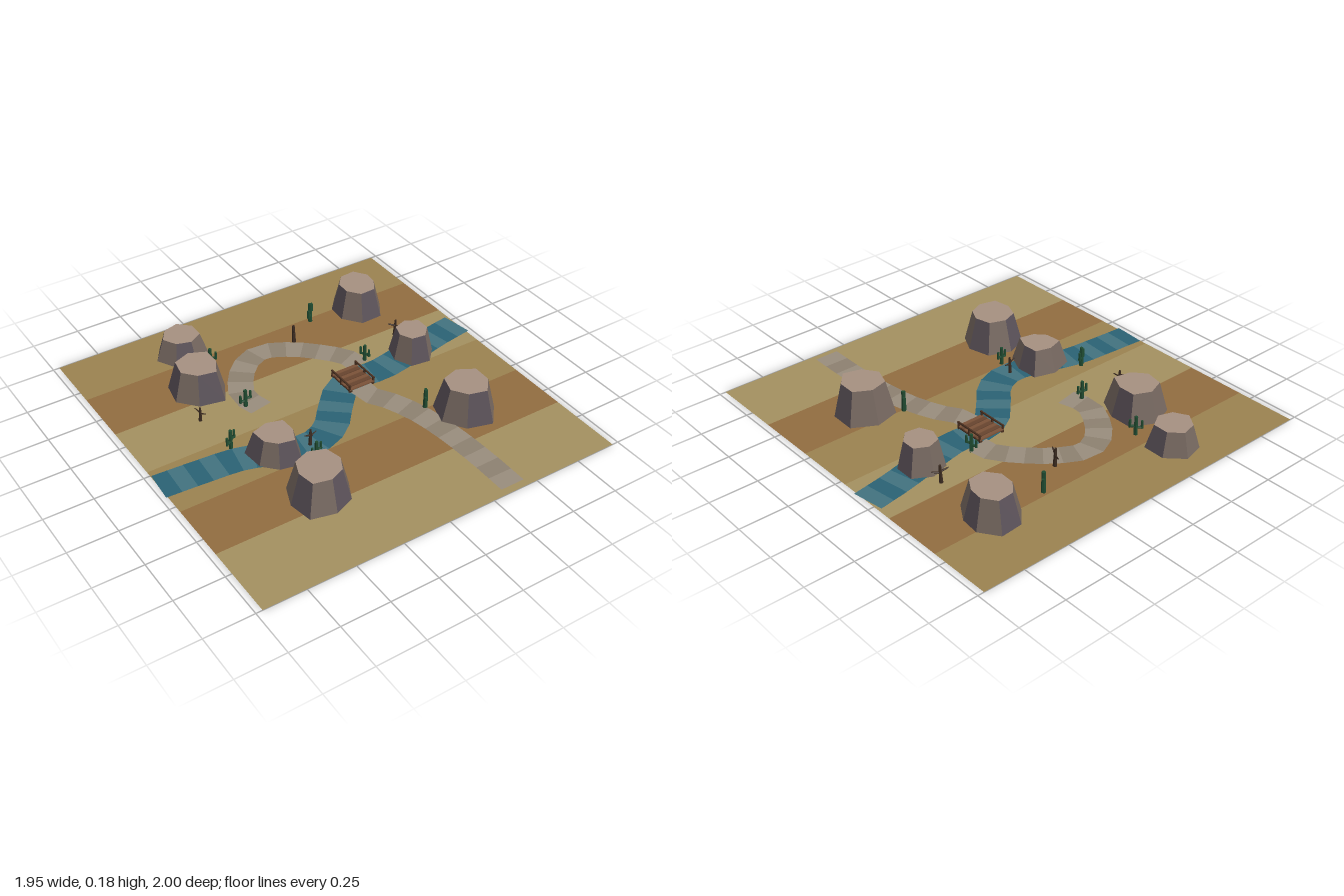
import * as THREE from 'three';

const mat = (color) => new THREE.MeshStandardMaterial({ color, flatShading: true, side: THREE.DoubleSide });
const SAND = mat(0xa38f5f), OCHRE = mat(0x9a8250), CLAY = mat(0x906c40);
const WATER = [mat(0x2a6274), mat(0x42727e)], TRAIL = [mat(0x988c7c), mat(0x8c8070)];
const ROCK = [mat(0x74665e), mat(0x5a5158)], ROCK_TOP = mat(0xa58f80);
const GREEN = mat(0x1f4a30), DEAD = mat(0x3a2a20), BEAM = mat(0x4a3020), PLANKS = [mat(0x7a5238), mat(0x67442e)];

function add(parent, name, geometry, material, x = 0, y = 0, z = 0) {
  const mesh = new THREE.Mesh(geometry, material);
  mesh.name = name;
  mesh.position.set(x, y, z);
  parent.add(mesh);
  return mesh;
}

function group(parent, name, x = 0, z = 0, turn = 0) {
  const g = new THREE.Group();
  g.name = name;
  g.position.set(x, 0, z);
  g.rotation.y = turn;
  parent.add(g);
  return g;
}

// Geometry from a list of corner points, three per triangle
function faces(points) {
  const g = new THREE.BufferGeometry().setFromPoints(points);
  g.computeVertexNormals();
  return g;
}
const quad = (a, b, c, d) => [a, b, c, a, c, d];

// Flat strip along a curve, in segments of two alternating colours
function ribbon(parent, name, path, width, segments, y, materials) {
  const curve = new THREE.CatmullRomCurve3(path.map(([x, z]) => new THREE.Vector3(x, y, z)));
  const edges = [];
  for (let i = 0; i <= segments; i++) {
    const p = curve.getPointAt(i / segments), t = curve.getTangentAt(i / segments);
    const n = new THREE.Vector3(t.z, 0, -t.x).multiplyScalar(width / 2);
    edges.push([p.clone().add(n), p.clone().sub(n)]);
  }
  const strips = [[], []];
  for (let i = 0; i < segments; i++) {
    const [l0, r0] = edges[i], [l1, r1] = edges[i + 1];
    strips[i % 2].push(...quad(l0, r0, r1, l1));
  }
  strips.forEach((s, i) => add(parent, name, faces(s), materials[i]));
}

// Tapered rock with an uneven outline, given as radii in hundredths
function mesa(parent, x, z, height, startDegrees, radii) {
  const g = group(parent, 'mesa', x, z);
  const ring = (scale, y) => radii.map((r, i) => {
    const a = THREE.MathUtils.degToRad(startDegrees + i * 360 / radii.length);
    return new THREE.Vector3(Math.cos(a) * r * scale / 100, y, Math.sin(a) * r * scale / 100);
  });
  const low = ring(1, 0), high = ring(0.71, height);
  const sides = [[], []], cap = [];
  radii.forEach((_, i) => {
    const j = (i + 1) % radii.length;
    sides[i % 2].push(...quad(low[i], high[i], high[j], low[j]));
    cap.push(new THREE.Vector3(0, height, 0), high[j], high[i]);
  });
  sides.forEach((s, i) => add(g, 'mesaSide', faces(s), ROCK[i]));
  add(g, 'mesaTop', faces(cap), ROCK_TOP);
}

// Cylinder between two points in the local xy plane
function limb(parent, name, [x0, y0], [x1, y1], r0, r1, material) {
  const geo = new THREE.CylinderGeometry(r1, r0, Math.hypot(x1 - x0, y1 - y0), 6);
  add(parent, name, geo, material, (x0 + x1) / 2, (y0 + y1) / 2, 0).rotation.z = Math.atan2(x0 - x1, y1 - y0);
}

function cactus(parent, x, z, height, turn) {
  const g = group(parent, 'cactus', x, z, turn);
  g.scale.setScalar(height / 0.11);
  limb(g, 'cactusTrunk', [0, 0], [0, 0.11], 0.012, 0.01, GREEN);
  for (const s of [-1, 1]) {
    const y = s > 0 ? 0.052 : 0.044;
    limb(g, 'cactusElbow', [0, y], [s * 0.034, y], 0.007, 0.007, GREEN);
    limb(g, 'cactusArm', [s * 0.032, y - 0.006], [s * 0.032, y + 0.04], 0.008, 0.007, GREEN);
  }
}

function deadTree(parent, x, z, height, turn) {
  const g = group(parent, 'deadTree', x, z, turn);
  g.scale.setScalar(height / 0.1);
  limb(g, 'deadTrunk', [0, 0], [0.004, 0.1], 0.011, 0.006, DEAD);
  limb(g, 'deadBranch', [0, 0.055], [0.045, 0.068], 0.006, 0.003, DEAD);
  limb(g, 'deadBranch', [0, 0.065], [-0.038, 0.08], 0.006, 0.003, DEAD);
}

// Plank bridge with side rails, crossing along z
function bridge(parent) {
  const g = group(parent, 'bridge', 0.225, -0.095);
  for (let i = 0; i < 7; i++) {
    add(g, 'plank', new THREE.BoxGeometry(0.15, 0.007, 0.02), PLANKS[i % 2], 0, 0.016, (i - 3) * 0.0245);
  }
  for (const s of [-1, 1]) {
    add(g, 'beam', new THREE.BoxGeometry(0.012, 0.01, 0.17), BEAM, s * 0.066, 0.008, 0);
    add(g, 'rail', new THREE.BoxGeometry(0.008, 0.007, 0.17), BEAM, s * 0.071, 0.038, 0);
    for (const z of [-0.078, 0, 0.078]) {
      add(g, 'railPost', new THREE.BoxGeometry(0.009, 0.042, 0.009), BEAM, s * 0.071, 0.021, z);
    }
  }
}

export function createModel() {
  const model = new THREE.Group();
  model.name = 'desertCanyon';

  // Ground in coloured bands
  const limits = [-1, -0.68, -0.36, -0.03, 0.29, 0.61, 1];
  [OCHRE, CLAY, SAND, OCHRE, CLAY, SAND].forEach((m, i) => {
    const depth = limits[i + 1] - limits[i];
    const geo = new THREE.PlaneGeometry(1.935, depth).rotateX(-Math.PI / 2);
    add(model, 'groundBand', geo, m, 0, 0, limits[i] + depth / 2);
  });

  // River and the two trails meeting at the bridge
  ribbon(model, 'river', [[-0.97, 0.09], [-0.75, 0.105], [-0.56, 0.125], [-0.38, 0.185], [-0.2, 0.21], [-0.08, 0.16],
    [0.03, 0.04], [0.15, -0.075], [0.25, -0.1], [0.38, -0.09], [0.6, -0.13], [0.78, -0.17], [0.965, -0.2]],
  0.17, 26, 0.002, WATER);
  ribbon(model, 'trail', [[0.385, 0.965], [0.385, 0.75], [0.37, 0.5], [0.335, 0.3], [0.27, 0.13], [0.22, 0.05], [0.22, -0.02]],
    0.13, 11, 0.004, TRAIL);
  ribbon(model, 'trail', [[0.32, -0.18], [0.31, -0.26], [0.2, -0.4], [0.08, -0.5], [-0.04, -0.55], [-0.15, -0.51],
    [-0.25, -0.4], [-0.305, -0.28], [-0.28, -0.15]], 0.13, 13, 0.004, TRAIL);
  bridge(model);

  // Mesas
  mesa(model, -0.385, -0.77, 0.12, -74, [13.8, 13.2, 13.8, 12.7, 12.4, 13.8, 12.7]);
  mesa(model, -0.46, -0.45, 0.158, -88, [15, 15.8, 13.2, 16.4, 13.8, 14.8, 15.8]);
  mesa(model, 0.615, -0.63, 0.155, -67, [15.9, 13.8, 12.7, 15.3, 15.9, 14.3, 13.8, 14.8]);
  mesa(model, 0.61, -0.13, 0.145, -82, [11.6, 12.7, 11.6, 12.2, 12.2, 11.1, 11.6]);
  mesa(model, -0.4, 0.19, 0.13, -92, [12.7, 14.3, 11.6, 14.3, 11.1, 11.6, 15.3]);
  mesa(model, -0.38, 0.53, 0.167, -88, [15.9, 16.9, 15.3, 14.8, 15.3, 18, 15.3, 15.9]);
  mesa(model, 0.545, 0.41, 0.176, -82, [15.3, 16.4, 14.8, 16.4, 14.3, 15.3, 15.9]);

  // Cacti: x, z, height, turn
  [[-0.31, -0.6, 0.1, -0.7], [0.33, -0.655, 0.11, 0.75], [-0.335, -0.205, 0.1, 0.07], [0.37, -0.2, 0.095, -1.3],
    [-0.555, 0.03, 0.105, 0.5], [-0.255, 0.31, 0.095, 0.2], [0.395, 0.285, 0.11, 0.95],
  ].forEach((c) => cactus(model, ...c));

  // Dead trees: x, z, height, turn
  [[0.155, -0.54, 0.1, 1.16], [0.63, -0.3, 0.095, -0.4], [-0.575, -0.23, 0.08, -1.15], [-0.23, 0.215, 0.09, 0.2],
  ].forEach((t) => deadTree(model, ...t));

  return model;
}
